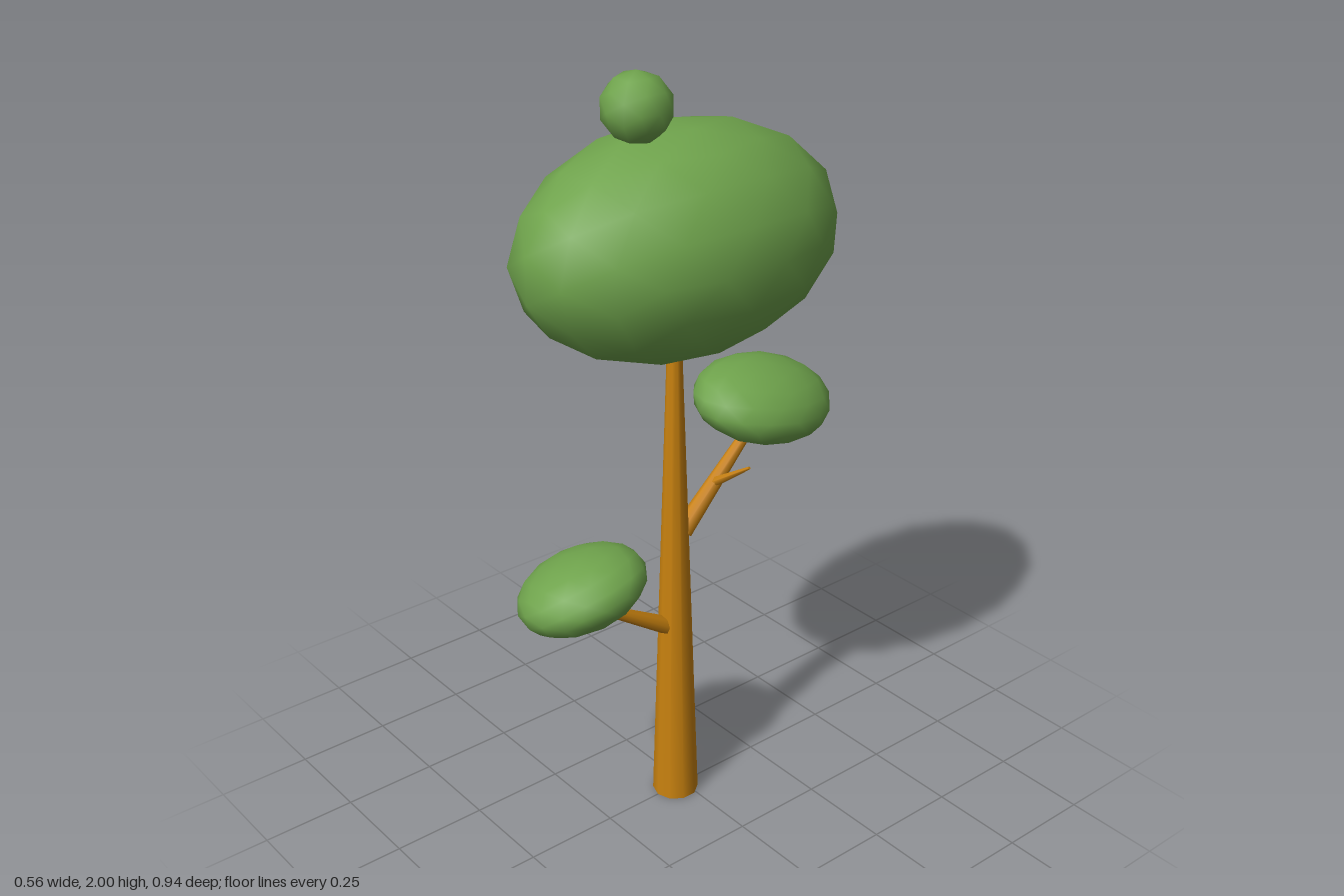
import * as THREE from 'three';
import { mergeVertices } from 'three/addons/utils/BufferGeometryUtils.js';

const wood = new THREE.MeshStandardMaterial({ color: 0xc9820f });
const leaf = new THREE.MeshStandardMaterial({ color: 0x6fa34c });

// Tapered round limb running between two points
function limb(name, from, to, r0, r1, sides) {
  const a = new THREE.Vector3(...from);
  const b = new THREE.Vector3(...to);
  const dir = b.clone().sub(a);
  const mesh = new THREE.Mesh(new THREE.CylinderGeometry(r1, r0, dir.length(), sides), wood);
  mesh.name = name;
  mesh.position.copy(a).lerp(b, 0.5);
  mesh.quaternion.setFromUnitVectors(new THREE.Vector3(0, 1, 0), dir.normalize());
  return mesh;
}

// Smooth low-poly ellipsoid of leaves
function clump(name, center, radii, tilt, detail) {
  let geo = new THREE.IcosahedronGeometry(1, detail);
  geo.deleteAttribute('uv');
  geo.deleteAttribute('normal');
  geo = mergeVertices(geo, 1e-4);
  geo.scale(...radii);
  geo.computeVertexNormals();
  const mesh = new THREE.Mesh(geo, leaf);
  mesh.name = name;
  mesh.position.set(...center);
  mesh.rotation.set(...tilt);
  return mesh;
}

export function createModel() {
  const tree = new THREE.Group();
  tree.name = 'tree';
  tree.add(
    // Wood
    limb('trunk', [0, 0, 0.025], [0, 1.42, 0.025], 0.061, 0.015, 10),
    limb('frontBranch', [0, 0.52, 0.04], [-0.005, 0.68, 0.3], 0.025, 0.011, 8),
    limb('backBranch', [0, 0.79, 0.0], [0, 1.04, -0.25], 0.026, 0.012, 8),
    limb('twig', [0, 0.895, -0.1], [0.1, 0.965, -0.135], 0.014, 0.004, 6),
    // Foliage
    clump('canopy', [0, 1.577, 0.012], [0.286, 0.283, 0.446], [0, 0, 0], 2),
    clump('topTuft', [0.01, 1.917, 0.14], [0.086, 0.084, 0.086], [0, 0, 0], 1),
    clump('backFoliage', [0, 1.085, -0.265], [0.148, 0.092, 0.209], [-0.17, 0, -0.38], 2),
    clump('frontFoliage', [-0.022, 0.723, 0.304], [0.155, 0.092, 0.174], [0.2, 0, 0.18], 2)
  );
  return tree;
}
